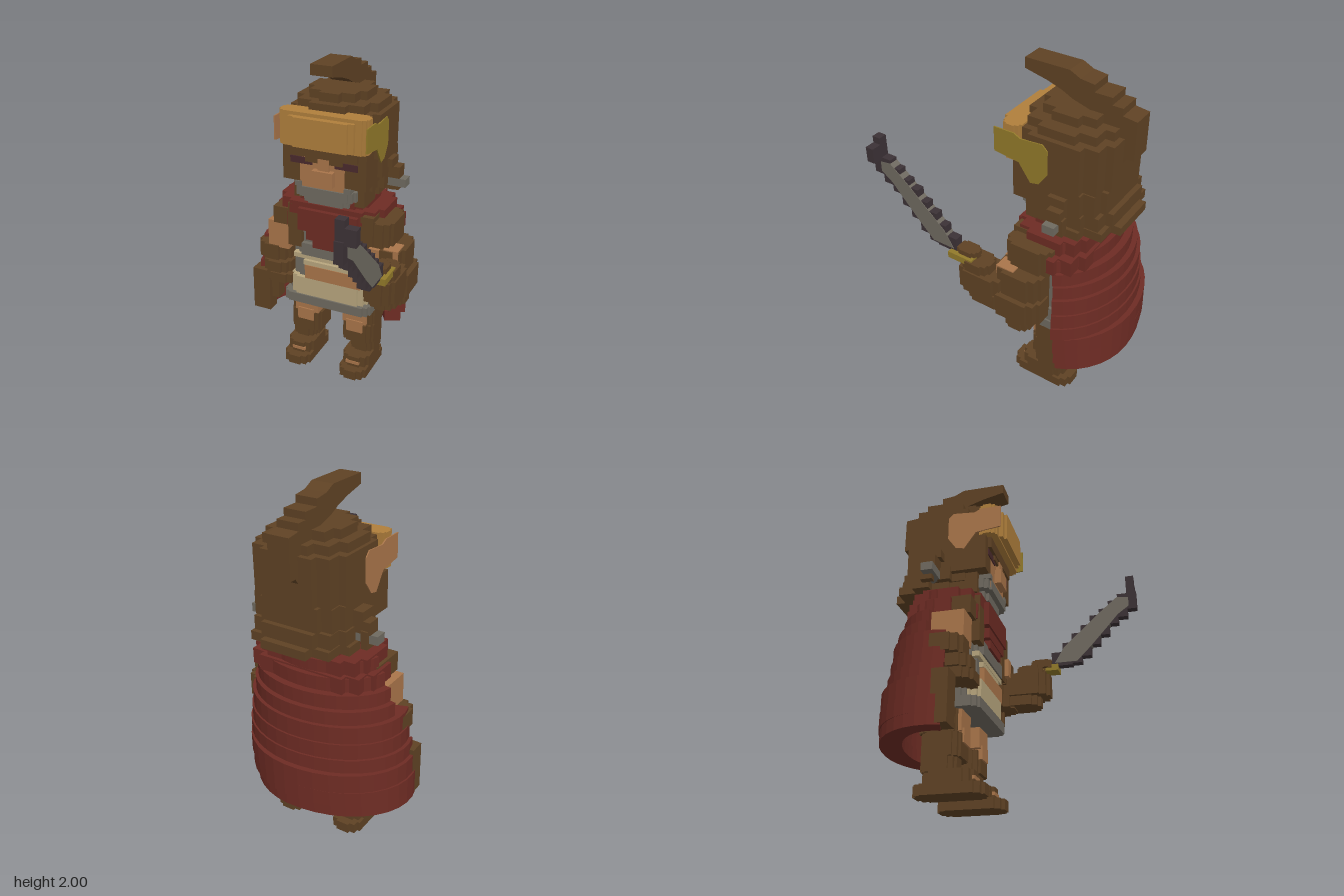
import * as THREE from 'three';
import { mergeGeometries } from 'three/addons/utils/BufferGeometryUtils.js';

const paint = (name, color) => {
  const m = new THREE.MeshStandardMaterial({ color });
  m.name = name;
  return m;
};

export function createModel() {
  const brown = paint('leather brown', 0x5f4224);
  const red = paint('cape red', 0x6e2c24);
  const skin = paint('skin', 0xa9754a);
  const amber = paint('amber band', 0xb07f3c);
  const gold = paint('gold', 0x927a2a);
  const grey = paint('grey', 0x6f6a60);
  const cream = paint('cream cloth', 0xb8a67e);
  const dark = paint('dark iron', 0x3c3236);
  const maroon = paint('eye maroon', 0x4a2a2c);

  const model = new THREE.Group();
  model.name = 'warrior';

  // Block given by its limits on each axis
  const boxGeo = (x0, x1, y0, y1, z0, z1) =>
    new THREE.BoxGeometry(x1 - x0, y1 - y0, z1 - z0).translate((x0 + x1) / 2, (y0 + y1) / 2, (z0 + z1) / 2);
  // Horizontal slab with stepped corners of size c
  const slabGeo = (x0, x1, y0, y1, z0, z1, c) => {
    const h = c / 2, pts = [];
    const corner = [[0, c], [h * 0.7, c], [h * 0.7, h * 0.7], [c, h * 0.7], [c, 0]];
    const add = (list, fx, fz) => list.forEach(([a, b]) => pts.push(new THREE.Vector2(fx(a), -fz(b))));
    const back = [...corner].reverse();
    add(corner, a => x0 + a, b => z1 - b);
    add(back, a => x1 - a, b => z1 - b);
    add(corner, a => x1 - a, b => z0 + b);
    add(back, a => x0 + a, b => z0 + b);
    return new THREE.ExtrudeGeometry(new THREE.Shape(pts), { depth: y1 - y0, bevelEnabled: false })
      .rotateX(-Math.PI / 2).translate(0, y0, 0);
  };
  // Side profile of [z, y] points, extruded from x0 to x1
  const profileGeo = (pts, x0, x1) =>
    new THREE.ExtrudeGeometry(new THREE.Shape(pts.map(p => new THREE.Vector2(...p))), { depth: x1 - x0, bevelEnabled: false })
      .rotateY(-Math.PI / 2).translate(x1, 0, 0);
  const add = (name, mat, ...geos) => {
    const mesh = new THREE.Mesh(geos.length > 1 ? mergeGeometries(geos) : geos[0], mat);
    mesh.name = name;
    model.add(mesh);
  };
  const blocks = (name, mat, ...list) => add(name, mat, ...list.map(b => boxGeo(...b)));
  const slabs = (name, mat, ...list) => add(name, mat, ...list.map(b => slabGeo(...b)));

  // Helmet
  slabs('helmet', brown,
    [-0.28, 0.32, 1.2, 1.25, -0.66, -0.24, 0.16],
    [-0.26, 0.3, 1.25, 1.33, -0.62, -0.16, 0.12],
    [-0.25, 0.3, 1.33, 1.46, -0.59, -0.14, 0.1],
    [-0.25, 0.3, 1.46, 1.72, -0.6, -0.06, 0.12],
    [-0.23, 0.27, 1.72, 1.77, -0.57, -0.08, 0.14],
    [-0.17, 0.19, 1.77, 1.82, -0.52, -0.13, 0.12]);
  blocks('cheekGuards', brown,
    [-0.25, -0.14, 1.3, 1.52, -0.3, -0.07], [0.14, 0.27, 1.3, 1.52, -0.3, -0.07],
    [-0.21, -0.16, 1.17, 1.3, -0.3, -0.13], [0.18, 0.24, 1.17, 1.3, -0.3, -0.13]);
  add('crest', brown, profileGeo([
    [-0.02, 2], [-0.28, 2], [-0.34, 1.97], [-0.42, 1.96], [-0.42, 1.92], [-0.52, 1.92], [-0.52, 1.88], [-0.58, 1.88],
    [-0.58, 1.84], [-0.66, 1.83], [-0.66, 1.61], [-0.62, 1.61], [-0.58, 1.55], [-0.48, 1.55], [-0.4, 1.82],
    [-0.3, 1.85], [-0.24, 1.88], [-0.15, 1.91], [-0.02, 1.94]], -0.05, 0.08));

  // Headband and its side discs
  slabs('headband', amber,
    [-0.25, 0.29, 1.53, 1.73, -0.12, -0.01, 0.03], [-0.19, 0.24, 1.54, 1.71, -0.08, 0.03, 0.05]);
  const disc = [[0.02, 1.56], [0.02, 1.7], [-0.1, 1.7], [-0.14, 1.68], [-0.27, 1.69], [-0.3, 1.66], [-0.3, 1.52], [-0.25, 1.45], [-0.2, 1.44], [-0.13, 1.54]]
    .reverse();
  add('leftHeadbandDisc', gold, profileGeo(disc, 0.298, 0.306));
  add('rightHeadbandDisc', skin, profileGeo(disc, -0.256, -0.248));

  // Face
  blocks('face', skin, [-0.14, 0.15, 1.22, 1.44, -0.3, -0.07], [-0.05, 0.08, 1.3, 1.39, -0.1, -0.03], [-0.02, 0.05, 1.38, 1.46, -0.1, -0.05]);
  blocks('brow', brown, [-0.2, 0.22, 1.46, 1.53, -0.2, -0.05], [-0.1, 0.13, 1.43, 1.47, -0.2, -0.055]);
  blocks('eyes', maroon, [-0.2, -0.06, 1.41, 1.45, -0.07, -0.064], [0.08, 0.22, 1.41, 1.45, -0.07, -0.064]);
  slabs('beard', grey, [-0.18, 0.2, 1.21, 1.27, -0.3, -0.06, 0.04], [-0.15, 0.17, 1.16, 1.21, -0.3, -0.09, 0.05], [-0.1, 0.12, 1.11, 1.16, -0.3, -0.12, 0.04]);
  blocks('beardSides', grey, [-0.17, -0.13, 1.27, 1.3, -0.2, -0.06], [0.14, 0.18, 1.27, 1.3, -0.2, -0.06]);

  // Ear spikes with leather ties
  for (const s of [-1, 1]) {
    const span = (a, b) => s > 0 ? [a + 0.02, b + 0.02] : [-b, -a];
    blocks('earSpike', grey, [...span(0.22, 0.39), 1.25, 1.3, -0.41, -0.34]);
    blocks('earTie', brown, [...span(0.24, 0.35), 1.3, 1.37, -0.42, -0.34], [...span(0.24, 0.31), 1.37, 1.42, -0.42, -0.32], [...span(0.3, 0.34), 1.22, 1.32, -0.43, -0.36]);
  }

  // Collar and shoulders of the cape
  slabs('collar', red,
    [-0.2, 0.24, 1.13, 1.19, -0.46, -0.13, 0.06],
    [-0.33, 0.34, 1.07, 1.15, -0.51, -0.1, 0.1],
    [-0.37, 0.4, 0.98, 1.07, -0.53, -0.11, 0.12]);
  blocks('scarf', red, [-0.16, 0.22, 0.98, 1.12, -0.2, -0.07], [-0.11, 0.19, 0.92, 0.98, -0.2, -0.08], [-0.07, 0.15, 0.87, 0.92, -0.2, -0.085]);

  // Cape: curved layers of [y0, y1, left reach, right reach, back reach]
  const capeLayer = ([y0, y1, l, r, d]) => {
    const shape = new THREE.Shape(), outer = [], inner = [];
    const start = y0 < 0.8 ? -0.25 : 0.1, n = 18;
    for (let i = 0; i <= n; i++) {
      const a = start + (2.8 - start) * i / n, w = Math.cos(a) > 0 ? l : r;
      outer.push(new THREE.Vector2(-w * Math.cos(a), 0.3 + d * Math.sin(a)));
      inner.unshift(new THREE.Vector2(-(w - 0.1) * Math.cos(a), 0.3 + (d - 0.13) * Math.sin(a)));
    }
    shape.setFromPoints([...outer, ...inner]);
    return new THREE.ExtrudeGeometry(shape, { depth: y1 - y0, bevelEnabled: false }).rotateX(-Math.PI / 2).translate(0, y0, 0);
  };
  add('cape', red, ...[
    [1.06, 1.14, 0.35, 0.36, 0.23], [0.98, 1.06, 0.39, 0.41, 0.26], [0.9, 0.98, 0.43, 0.42, 0.3],
    [0.82, 0.9, 0.46, 0.43, 0.33], [0.72, 0.82, 0.49, 0.45, 0.35], [0.63, 0.72, 0.5, 0.46, 0.36],
    [0.55, 0.63, 0.52, 0.47, 0.37], [0.44, 0.55, 0.54, 0.46, 0.4], [0.35, 0.44, 0.55, 0.45, 0.4],
    [0.28, 0.35, 0.55, 0.42, 0.39]].map(capeLayer));
  blocks('capeLining', brown, [-0.54, -0.42, 0.29, 0.58, -0.26, -0.17], [-0.42, -0.37, 0.38, 0.58, -0.28, -0.2]);

  // Torso, belt and skirt
  slabs('torso', grey, [-0.24, 0.29, 0.63, 1.0, -0.45, -0.13, 0.06]);
  blocks('chestPlate', grey, [-0.15, 0.24, 0.8, 0.88, -0.15, -0.1]);
  blocks('chestBands', cream, [-0.21, 0.26, 0.77, 0.8, -0.15, -0.11], [-0.14, 0.18, 0.73, 0.76, -0.15, -0.105]);
  blocks('belt', skin, [-0.13, 0.24, 0.64, 0.73, -0.2, -0.1]);
  blocks('harness', brown, [-0.24, -0.15, 0.85, 1.13, -0.3, -0.1], [0.23, 0.31, 0.8, 1.13, -0.3, -0.1]);
  slabs('skirt', cream, [-0.24, 0.27, 0.51, 0.64, -0.42, -0.1, 0.05]);
  slabs('skirtHem', grey, [-0.28, 0.3, 0.46, 0.52, -0.45, -0.09, 0.04], [-0.27, 0.29, 0.52, 0.61, -0.45, -0.15, 0.04]);

  // Legs and boots
  for (const [s, c] of [[-1, -0.18], [1, 0.19]]) {
    const side = (a, b) => s > 0 ? [c + a, c + b] : [c - b, c - a];
    blocks('thigh', skin, [...side(-0.1, 0.06), 0.34, 0.47, -0.37, -0.19], [...side(-0.07, 0.04), 0.28, 0.36, -0.3, -0.18]);
    slabs('legWrap', brown,
      [...side(-0.11, 0.1), 0.2, 0.33, -0.41, -0.19, 0.04],
      [...side(-0.05, 0.1), 0.33, 0.46, -0.42, -0.21, 0.03],
      [...side(-0.07, 0.1), 0.12, 0.2, -0.4, -0.24, 0.03]);
    slabs('boot', brown,
      [...side(-0.08, 0.1), 0, 0.06, -0.45, -0.06, 0.05],
      [...side(-0.08, 0.1), 0.06, 0.13, -0.4, -0.12, 0.05],
      [...side(-0.06, 0.1), 0.13, 0.2, -0.41, -0.21, 0.04]);
    blocks('toeStrap', skin, [...side(-0.04, 0.05), 0.08, 0.1, -0.13, -0.115]);
  }

  // Right arm, bent at the side
  blocks('rightUpperArm', skin, [-0.4, -0.26, 0.79, 0.97, -0.34, -0.14]);
  slabs('rightForearm', brown,
    [-0.49, -0.27, 0.7, 0.8, -0.36, -0.13, 0.06],
    [-0.44, -0.25, 0.63, 0.7, -0.33, -0.1, 0.05],
    [-0.42, -0.21, 0.57, 0.63, -0.28, -0.09, 0.05]);
  blocks('rightShoulderStrap', brown, [-0.35, -0.24, 0.97, 1.08, -0.34, -0.12]);

  // Left arm, reaching forward
  slabs('leftUpperArm', brown,
    [0.27, 0.42, 0.95, 1.1, -0.38, -0.1, 0.05],
    [0.3, 0.5, 0.8, 0.95, -0.36, -0.08, 0.06],
    [0.32, 0.53, 0.66, 0.8, -0.37, -0.06, 0.06],
    [0.4, 0.5, 0.57, 0.66, -0.3, -0.14, 0.04]);
  blocks('leftElbowSkin', skin, [0.38, 0.47, 0.9, 0.956, -0.2, -0.09], [0.295, 0.36, 0.84, 0.95, -0.1, -0.075]);
  slabs('leftForearm', brown,
    [0.36, 0.52, 0.67, 0.76, -0.15, 0.1, 0.05],
    [0.34, 0.53, 0.73, 0.87, -0.15, 0.16, 0.06],
    [0.38, 0.52, 0.87, 0.93, -0.05, 0.13, 0.04],
    [0.4, 0.49, 0.92, 0.97, 0.04, 0.18, 0.03]);

  // Sword: stepped dark edge, paler flats, gold guard
  blocks('swordGuard', gold, [0.42, 0.51, 0.9, 0.94, 0.05, 0.21]);
  const steps = [[0.17, 0.93, 1.02], [0.24, 0.93, 1.08], [0.3, 0.94, 1.14], [0.36, 0.98, 1.19], [0.42, 1.05, 1.25],
    [0.48, 1.11, 1.29], [0.54, 1.18, 1.34], [0.6, 1.22, 1.38], [0.66, 1.27, 1.39]];
  blocks('swordEdge', dark, ...steps.map(([z, a, b]) => [0.43, 0.48, a, b, z, z + 0.06]),
    [0.43, 0.48, 1.27, 1.5, 0.66, 0.71], [0.47, 0.54, 1.37, 1.46, 0.66, 0.71], [0.43, 0.48, 0.93, 1, 0.22, 0.26]);
  const flat = [[0.19, 0.95], [0.33, 0.95], [0.42, 1.04], [0.52, 1.15], [0.6, 1.24], [0.67, 1.29], [0.67, 1.35], [0.6, 1.36], [0.48, 1.26], [0.36, 1.15], [0.25, 1.05]];
  add('swordFlats', grey, profileGeo(flat, 0.427, 0.483));

  return model;
}
